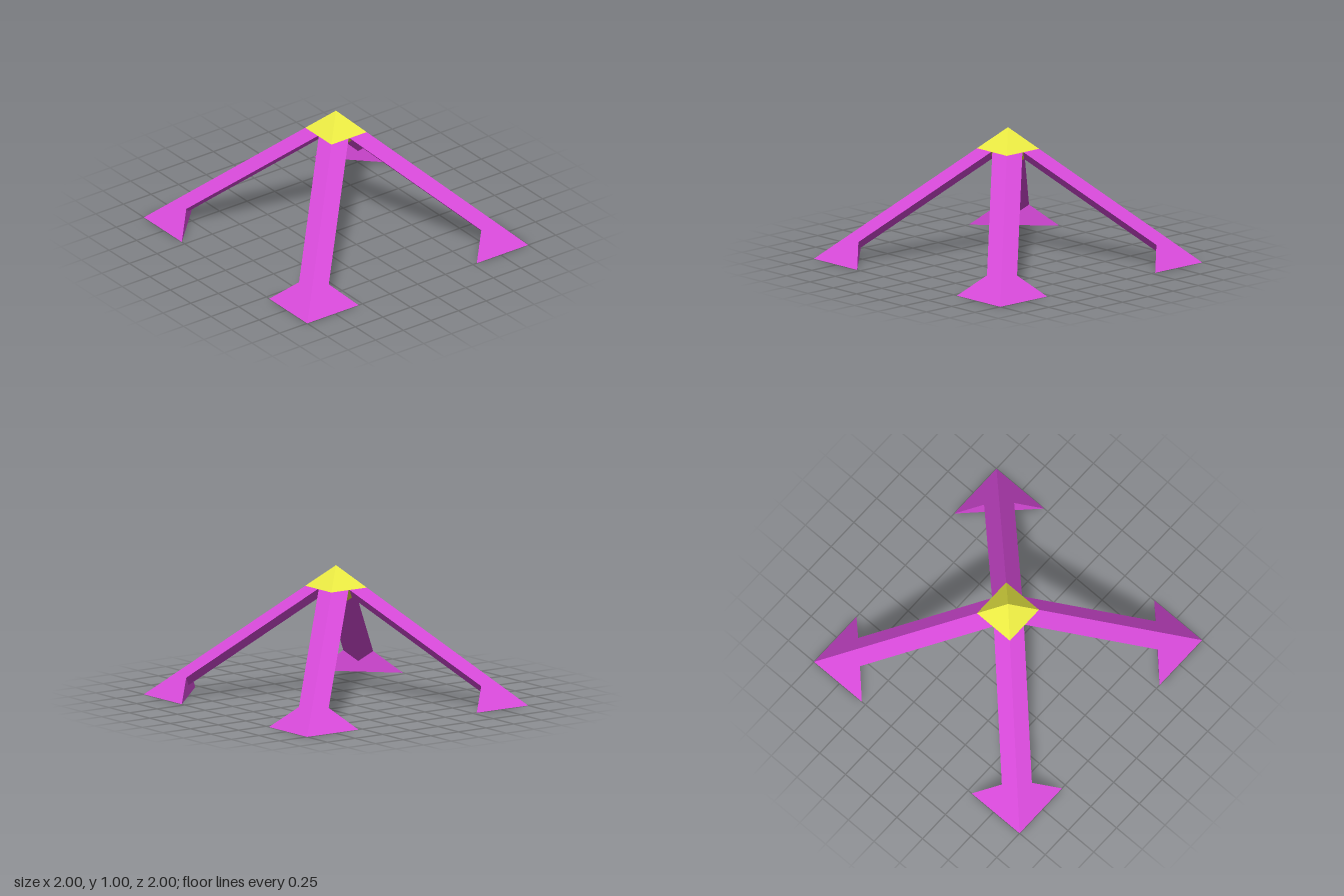
import * as THREE from 'three';
import { ConvexGeometry } from 'three/addons/geometries/ConvexGeometry.js';

const W = 0.155;      // leg width
const CAP = 0.16;     // cap half size
const TOP = 1 - CAP;  // height where the legs meet the cap

// Square beam sheared along the diagonal, outer edge running from the peak to a corner
function legGeometry() {
  const geo = new THREE.BoxGeometry(W, TOP, W).toNonIndexed();
  geo.translate(-W / 2, TOP / 2, -W / 2);
  const pos = geo.attributes.position;
  for (let i = 0; i < pos.count; i++) {
    const y = pos.getY(i);
    pos.setX(i, pos.getX(i) + 1 - y);
    pos.setZ(i, pos.getZ(i) + 1 - y);
  }
  geo.computeVertexNormals();
  return geo;
}

// Corner wedge with a flat sole and an upright inner face
function footGeometry() {
  const inner = 1 - 3 * W, mid = (1 + inner) / 2;
  return new ConvexGeometry([
    new THREE.Vector3(1, 0, 1),
    new THREE.Vector3(inner, 0, 1),
    new THREE.Vector3(1, 0, inner),
    new THREE.Vector3(mid, 1 - mid, mid),
  ]);
}

export function createModel() {
  const model = new THREE.Group();
  model.name = 'pyramidFrame';
  const purple = new THREE.MeshStandardMaterial({ color: 0xd94adb, flatShading: true });
  const yellow = new THREE.MeshStandardMaterial({ color: 0xeeee44, flatShading: true });

  // Four legs with feet, one towards each corner
  const leg = legGeometry(), foot = footGeometry();
  for (let i = 0; i < 4; i++) {
    const corner = new THREE.Group();
    corner.name = `corner${i + 1}`;
    const legMesh = new THREE.Mesh(leg, purple);
    legMesh.name = 'leg';
    const footMesh = new THREE.Mesh(foot, purple);
    footMesh.name = 'foot';
    corner.add(legMesh, footMesh);
    corner.rotation.y = i * Math.PI / 2;
    model.add(corner);
  }

  // Double pyramid at the peak
  const capGeo = new THREE.OctahedronGeometry(CAP);
  capGeo.scale(Math.SQRT2, 1, Math.SQRT2);
  capGeo.rotateY(Math.PI / 4);
  const cap = new THREE.Mesh(capGeo, yellow);
  cap.name = 'cap';
  cap.position.y = TOP;
  model.add(cap);

  return model;
}
